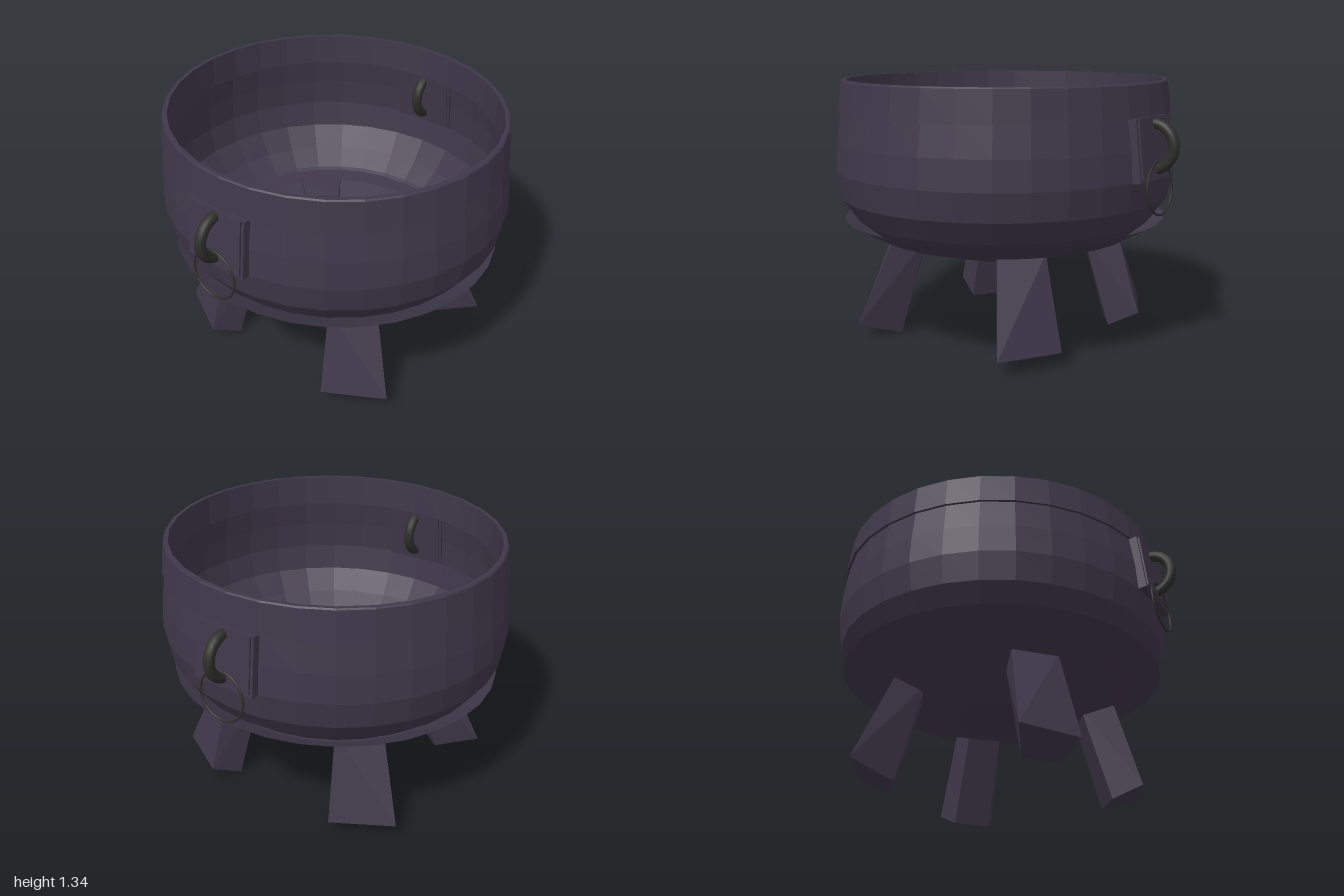
import * as THREE from 'three';
import { ConvexGeometry } from 'three/addons/geometries/ConvexGeometry.js';

const iron = new THREE.MeshStandardMaterial({ color: 0x3f3749, flatShading: true, side: THREE.DoubleSide });
iron.name = 'dark iron';
const ringMetal = new THREE.MeshStandardMaterial({ color: 0x2d2d2a });
ringMetal.name = 'blackened ring metal';

const SQUASH = 0.96; // the pot is slightly narrower in x than in z

function createModel() {
  const model = new THREE.Group();
  model.name = 'cauldron';

  const add = (name, geometry, material, parent = model) => {
    const mesh = new THREE.Mesh(geometry, material);
    mesh.name = name;
    parent.add(mesh);
    return mesh;
  };
  const turned = (name, profile) => {
    const points = profile.map(([r, y]) => new THREE.Vector2(r, y));
    const geometry = new THREE.LatheGeometry(points, 32);
    geometry.scale(SQUASH, 1, 1);
    return add(name, geometry, iron);
  };

  // Thin bulging wall, heavy rim band and flared bottom pan
  turned('wall', [[0.7, 0.553], [0.797, 0.63], [0.88, 0.745], [0.905, 0.885], [0.895, 1.03], [0.87, 1.19]]);
  turned('rim', [[0.865, 1.18], [0.885, 1.18], [0.866, 1.333], [0.86, 1.34], [0.84, 1.34], [0.835, 1.18], [0.865, 1.18]]);
  turned('bottomPan', [[0, 0.39], [0.23, 0.408], [0.42, 0.455], [0.6, 0.52], [0.69, 0.535], [0.865, 0.63]]);

  // Splayed tapering legs: four foot corners and four top corners, mirrored
  const legCorners = [
    [0.613, 0.075, 0.38], [0.45, 0.078, 0.677], [0.347, 0.003, 0.46], [0.47, 0, 0.306],
    [0.49, 0.535, 0.34], [0.33, 0.535, 0.515], [0.23, 0.51, 0.39], [0.34, 0.51, 0.24],
  ];
  for (const sx of [1, -1]) {
    for (const sz of [1, -1]) {
      const corners = legCorners.map(([x, y, z]) => new THREE.Vector3(x * sx, y, z * sz));
      add((sz > 0 ? 'front' : 'back') + (sx > 0 ? 'Left' : 'Right') + 'Leg', new ConvexGeometry(corners), iron);
    }
  }

  // Side mounts, each with a thick handle ring and a thin loose ring
  for (const side of [1, -1]) {
    const mount = new THREE.Group();
    mount.name = side > 0 ? 'leftHandle' : 'rightHandle';
    mount.rotation.y = side > 0 ? 0 : Math.PI;
    model.add(mount);

    const backPlate = add('backPlate', new THREE.BoxGeometry(0.05, 0.3, 0.34), iron, mount);
    backPlate.position.set(0.853, 1.033, 0);
    backPlate.rotation.z = 0.11;
    const facePlate = add('facePlate', new THREE.BoxGeometry(0.066, 0.287, 0.31), iron, mount);
    facePlate.position.set(0.853, 1.04, 0);
    facePlate.rotation.z = 0.11;

    const handle = add('handleRing', new THREE.TorusGeometry(0.109, 0.027, 12, 32), ringMetal, mount);
    handle.position.set(0.864, 1.045, 0);

    const loose = add('looseRing', new THREE.TorusGeometry(0.126, 0.006, 8, 40), ringMetal, mount);
    loose.rotation.set(0, Math.PI / 2, 0.08, 'ZYX');
    loose.position.set(0.907, 0.846, 0);
  }

  return model;
}

export { createModel };
